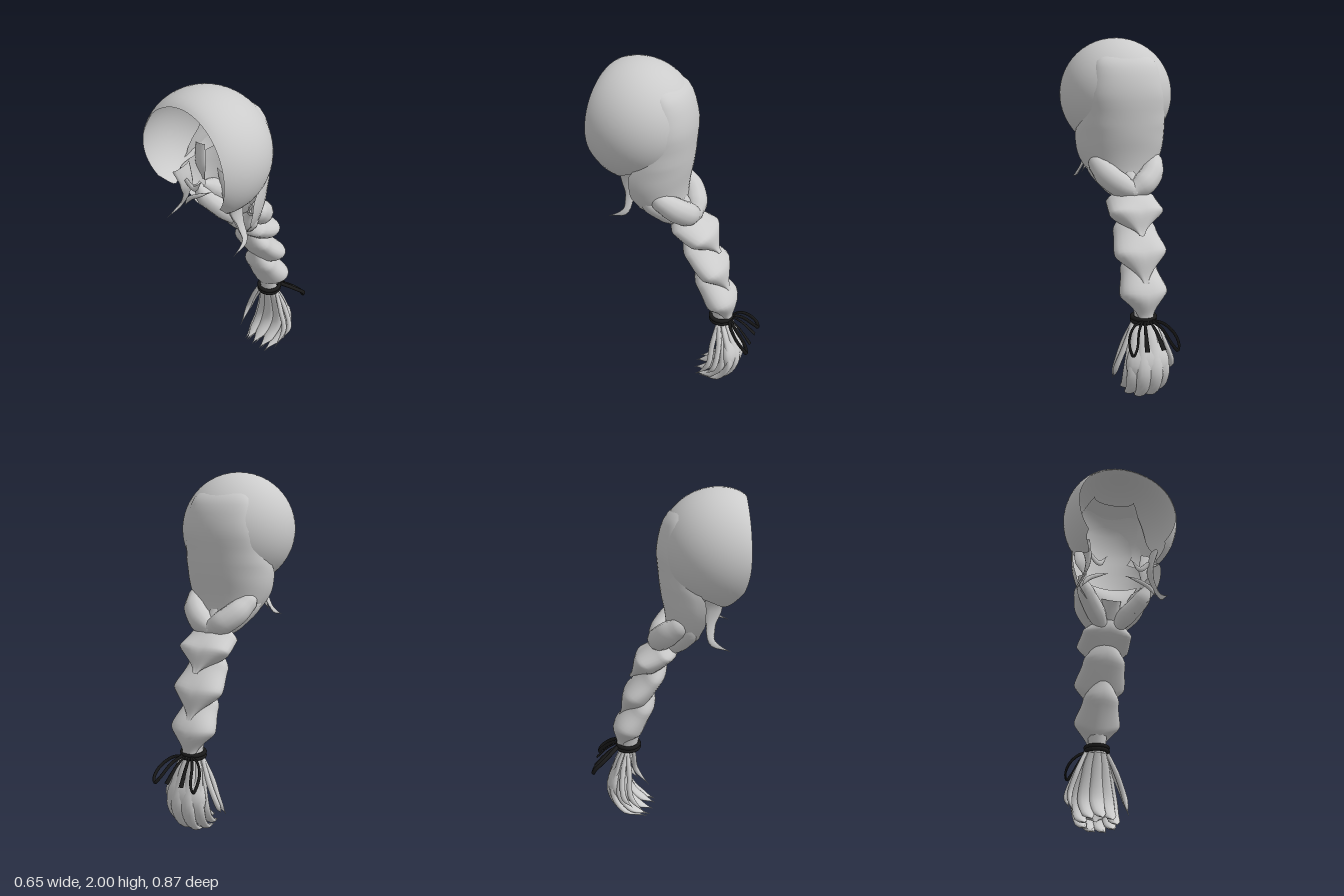
import * as THREE from 'three';
import { mergeVertices } from 'three/addons/utils/BufferGeometryUtils.js';

const V = (x, y, z) => new THREE.Vector3(x, y, z);
const hair = new THREE.MeshStandardMaterial({ color: 0xcccccc });
const sheetHair = new THREE.MeshStandardMaterial({ color: 0xcccccc, side: THREE.DoubleSide });
const cord = new THREE.MeshStandardMaterial({ color: 0x1a1a1a });

// Smooth surface from a function of (u, v), both 0..1
function surface(nu, nv, f) {
  const pos = [], idx = [];
  for (let i = 0; i <= nu; i++)
    for (let j = 0; j <= nv; j++) pos.push(...f(i / nu, j / nv).toArray());
  for (let i = 0; i < nu; i++)
    for (let j = 0; j < nv; j++) {
      const a = i * (nv + 1) + j, b = a + nv + 1;
      idx.push(a, b, a + 1, b, b + 1, a + 1);
    }
  let g = new THREE.BufferGeometry();
  g.setAttribute('position', new THREE.Float32BufferAttribute(pos, 3));
  g.setIndex(idx);
  g = mergeVertices(g, 1e-5);
  g.computeVertexNormals();
  return g;
}

// Interpolates a row of numbers smoothly
function sample(list, t) {
  const x = t * (list.length - 1), i = Math.min(Math.floor(x), list.length - 2), k = x - i;
  return THREE.MathUtils.lerp(list[i], list[i + 1], k * k * (3 - 2 * k));
}

// Tapered strand swept along points; flat squashes it across the ref direction,
// lift bends it into an arch at the start and a V at the end
function strand(points, radii, { flat = 1, ref = V(1, 0, 0), nu = 18, nv = 10, lift = 0 } = {}) {
  const curve = new THREE.CatmullRomCurve3(points.map(p => V(...p)));
  return surface(nu, nv, (u, v) => {
    const T = curve.getTangent(u);
    const N = ref.clone().addScaledVector(T, -ref.dot(T)).normalize();
    const B = N.clone().cross(T);
    const r = sample(radii, u), a = (v === 1 ? 0 : v) * Math.PI * 2;
    const p = curve.getPoint(u).addScaledVector(N, r * Math.cos(a)).addScaledVector(B, r * flat * Math.sin(a));
    p.y += lift * (2 * u - 1) * Math.abs(p.x);
    return p;
  });
}

export function createModel() {
  const model = new THREE.Group();
  const add = (name, geo, mat = hair) => {
    const m = new THREE.Mesh(geo, mat);
    m.name = name;
    model.add(m);
    return m;
  };
  const mirror = (points, s) => points.map(([x, y, z]) => [x * s, y, z]);

  // Cap: an open-faced ellipsoid shell, rings running from behind to the face
  add('cap', surface(26, 40, (u, v) => {
    const t = 0.5 + u * 1.71;
    const c = Math.cos(t), s = Math.sin(t) ** (c > 0 ? 1 : 0.72);
    const limit = Math.acos(-0.62 - 0.18 * Math.exp(-(((u - 0.74) / 0.15) ** 2)));
    const a = (v * 2 - 1) * limit, ca = Math.cos(a);
    const z = 0.27 - c * (c > 0 ? 0.315 : 0.28);
    return V(0.325 * s * Math.sin(a), 1.68 + 0.32 * s * ca, z - u ** 7 * (ca > 0 ? 0.025 : 0.07) * ca * ca);
  }), sheetHair);

  // Back panel: swept-back hair over the nape; columns are y, half width, back z, side z
  const rows = [
    [1.93, 0.12, 0.1, 0.16], [1.85, 0.18, -0.005, 0.09], [1.7, 0.22, -0.05, 0.09],
    [1.55, 0.25, -0.042, 0.17], [1.45, 0.26, -0.03, 0.22], [1.35, 0.245, -0.01, 0.22],
    [1.26, 0.2, 0.0, 0.19], [1.18, 0.12, -0.01, 0.14]];
  const panel = new THREE.CatmullRomCurve3(rows.map(r => V(r[1], r[0], r[2])));
  add('backPanel', surface(24, 24, (u, v) => {
    const p = panel.getPoint(u), a = (v - 0.5) * Math.PI;
    const side = sample(rows.map(r => r[3]), u);
    const c = Math.abs(Math.cos(a)) ** 0.85;
    return V(p.x * Math.sin(a), p.y, side + (p.z - side) * c);
  }), sheetHair);

  // Inner nape floor closing the underside towards the braid
  add('napeLining', surface(8, 12, (u, v) => {
    const w = THREE.MathUtils.lerp(0.17, 0.08, u), x = v * 2 - 1;
    return V(w * x, 1.37 - 0.19 * u + 0.04 * x * x, 0.04 + 0.04 * u + 0.03 * Math.sin(u * Math.PI) * (1 - x * x));
  }), sheetHair);

  for (const s of [1, -1]) {
    const side = s > 0 ? 'left' : 'right';

    // Loose locks by the ears and small wisps inside the hem
    add(side + 'EarLock', strand(mirror([[0.2, 1.51, 0.27], [0.18, 1.41, 0.255], [0.2, 1.32, 0.245],
      [0.235, 1.245, 0.255], [0.245, 1.2, 0.35]], s), [0.06, 0.045, 0.024, 0.018, 0.001],
      { flat: 0.3, ref: V(0, 0, 1) }));
    add(side + 'ThinLock', strand(mirror([[0.05, 1.38, 0.2], [0.12, 1.34, 0.23], [0.18, 1.3, 0.24],
      [0.215, 1.24, 0.25]], s), [0.001, 0.011, 0.013, 0.001], { ref: V(0, 0, 1) }));
    add(side + 'Wisp', strand(mirror([[0.17, 1.44, 0.27], [0.12, 1.4, 0.26], [0.07, 1.46, 0.25]], s),
      [0.014, 0.016, 0.001], { flat: 0.5, ref: V(0, 1, 0) }));
    add(side + 'InnerFlap', strand(mirror([[0.205, 1.58, 0.12], [0.19, 1.47, 0.14], [0.17, 1.38, 0.14]], s),
      [0.035, 0.04, 0.01], { flat: 0.25 }));

    // Strands gathering the hem into the braid
    add(side + 'Feeder', strand(mirror([[0.2, 1.36, 0.17], [0.16, 1.27, 0.14], [0.09, 1.19, 0.08], [0.02, 1.1, 0.02]], s),
      [0.02, 0.05, 0.055, 0.03]));
    add(side + 'TopBraidStrand', strand(mirror([[0.18, 1.35, 0.14], [0.165, 1.3, 0.08], [0.13, 1.245, 0.015],
      [0.07, 1.195, -0.03], [-0.02, 1.15, -0.055]], s), [0.02, 0.055, 0.068, 0.068, 0.04],
      { ref: V(0, 0.6, -0.8), nu: 20, nv: 12 }));

    // Bow loop and loose cord end
    add(side + 'BowLoop', strand(mirror([[0.03, 0.48, -0.29], [0.065, 0.45, -0.34], [0.1, 0.38, -0.41],
      [0.125, 0.35, -0.425], [0.137, 0.38, -0.41], [0.125, 0.43, -0.36], [0.08, 0.47, -0.31], [0.03, 0.48, -0.285]], s),
      [0.012, 0.012], { flat: 0.55, ref: V(0, 1, -0.9), nu: 36, nv: 8 }), cord);
    add(side + 'CordEnd', strand(mirror([[0.015, 0.48, -0.29], [0.03, 0.44, -0.35], [0.047, 0.36, -0.425]], s),
      [0.007, 0.01, 0.014], { flat: 0.4, nv: 6 }), cord);

    // Long thin outer strands of the tail
    [[0.155, 0.1, -0.2, -0.12], [0.165, 0.14, -0.24, -0.19]].forEach(([x, y, mz, tz], i) =>
      add(side + 'OuterTailStrand' + (i + 1), strand(mirror([[0.055, 0.48, -0.225], [0.115, 0.34, mz - 0.01],
        [x, 0.21, mz], [x - 0.005, y, tz]], s), [0.01, 0.015, 0.015, 0.001], { flat: 1.1 })));
  }

  // Braid: overlapping lumps, each running from a high arch in front to a low V behind
  const lumps = [
    [[[0, 1.23, 0.06], [0, 1.13, 0.0], [0, 1.02, -0.11], [0, 0.93, -0.205]], [0.03, 0.145, 0.155, 0.015], 0.5],
    [[[0, 1.13, 0.0], [0, 0.97, -0.065], [0, 0.81, -0.175], [0, 0.68, -0.27]], [0.02, 0.125, 0.15, 0.015], 0.52],
    [[[0, 0.92, -0.065], [0, 0.76, -0.135], [0, 0.6, -0.225], [0, 0.47, -0.27]], [0.01, 0.105, 0.135, 0.04], 0.66]];
  lumps.forEach(([path, radii, flat], i) =>
    add('braidLump' + (i + 1), strand(path, radii, { flat, nu: 24, nv: 24, lift: 0.6 })));

  // Braid core filling the middle
  add('braidCore', strand([[0, 1.28, 0.08], [0, 1.1, -0.03], [0, 0.85, -0.14], [0, 0.62, -0.2], [0, 0.46, -0.225]],
    [0.06, 0.06, 0.055, 0.06, 0.05]));

  // Hair tie
  for (const dy of [-0.01, 0.01]) {
    const tie = add('hairTie', new THREE.TorusGeometry(0.063, 0.012, 8, 28), cord);
    tie.rotation.x = Math.PI / 2;
    tie.position.set(0, 0.48 + dy, -0.225);
  }

  // Tail body and its fanned tips, longer and more curled towards the back
  add('tailBody', strand([[0, 0.5, -0.225], [0, 0.38, -0.26], [0, 0.25, -0.3], [0, 0.15, -0.29], [0, 0.08, -0.24]],
    [0.045, 0.085, 0.125, 0.105, 0.005], { flat: 0.42, nv: 20 }));
  const count = 9;
  for (let i = 0; i < count; i++) {
    const a = i / count * Math.PI * 2, x = Math.sin(a), back = (1 - Math.cos(a)) / 2;
    const mix = (p, q) => THREE.MathUtils.lerp(p, q, back);
    add('tailStrand' + (i + 1), strand([
      [0.04 * x, 0.49, mix(-0.195, -0.25)],
      [0.07 * x, 0.36, mix(-0.225, -0.3)],
      [0.092 * x, 0.2, mix(-0.225, -0.342)],
      [0.095 * x, mix(0.12, 0.065), mix(-0.16, -0.285)],
      [0.085 * x, mix(0.07, 0.003), mix(-0.07, -0.13)]],
      [0.018, 0.034, 0.045, 0.036, 0.001], { flat: 0.5, nv: 12 }));
  }
  return model;
}
